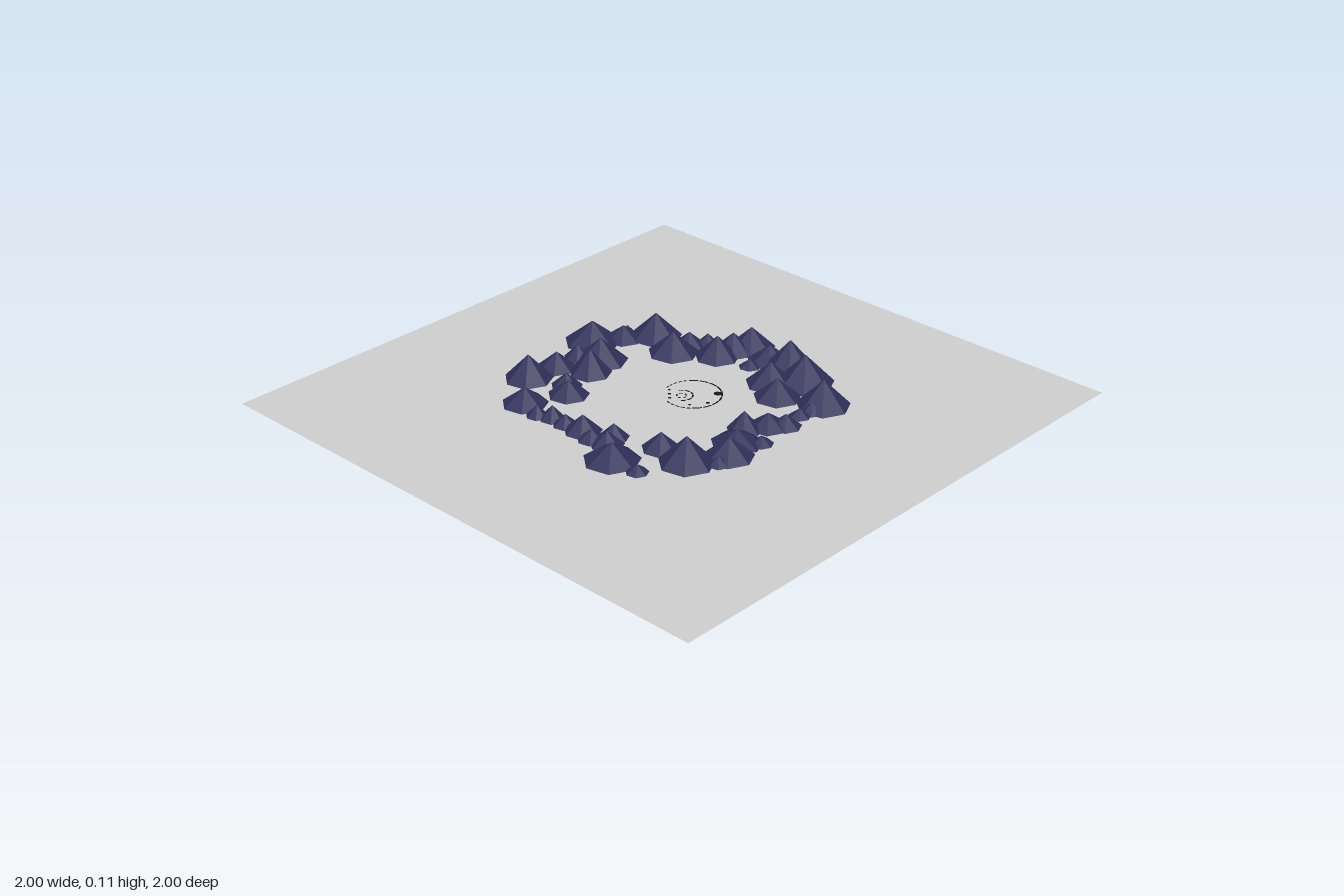
import * as THREE from 'three';
import { mergeGeometries } from 'three/addons/utils/BufferGeometryUtils.js';

const ground = new THREE.MeshStandardMaterial({ color: 0xcccccc, side: THREE.DoubleSide });
ground.name = 'pale grey ground';
const rock = new THREE.MeshStandardMaterial({ color: 0x30305a, flatShading: true });
rock.name = 'dark blue rock';
const ink = new THREE.MeshStandardMaterial({ color: 0x15151c, side: THREE.DoubleSide });
ink.name = 'near black marking';

// Peaks of each side of the ring: x, z, radius, height
const backPeaks = [
  [-0.23, -0.45, 0.085, 0.09], [-0.11, -0.44, 0.07, 0.06], [-0.01, -0.44, 0.05, 0.05],
  [0.11, -0.49, 0.101, 0.08], [0.03, -0.37, 0.095, 0.085], [-0.06, -0.33, 0.075, 0.09],
  [0.2, -0.43, 0.07, 0.05], [0.24, -0.45, 0.03, 0.03], [-0.36, -0.33, 0.08, 0.06],
  [-0.18, -0.32, 0.055, 0.05], [-0.22, -0.27, 0.072, 0.055],
];
const rightPeaks = [
  [-0.39, -0.24, 0.04, 0.04], [-0.37, -0.19, 0.045, 0.05], [-0.37, -0.13, 0.045, 0.04],
  [-0.36, -0.06, 0.065, 0.06], [-0.38, 0.0, 0.05, 0.04], [-0.37, 0.06, 0.058, 0.05],
  [-0.32, 0.04, 0.052, 0.05], [-0.43, 0.14, 0.096, 0.065], [-0.43, 0.25, 0.04, 0.03],
  [-0.27, 0.2, 0.066, 0.06],
];
const frontPeaks = [
  [-0.28, 0.32, 0.095, 0.095], [-0.16, 0.39, 0.084, 0.07], [-0.22, 0.4, 0.04, 0.03],
  [-0.08, 0.35, 0.088, 0.05], [-0.03, 0.41, 0.042, 0.03], [0.0, 0.31, 0.06, 0.07],
  [0.07, 0.35, 0.07, 0.05], [0.11, 0.39, 0.055, 0.045], [0.19, 0.38, 0.04, 0.03],
  [0.24, 0.39, 0.04, 0.04], [0.3, 0.387, 0.093, 0.095],
];
const leftPeaks = [
  [0.29, -0.36, 0.092, 0.09], [0.24, -0.23, 0.09, 0.08], [0.32, -0.23, 0.06, 0.05],
  [0.37, -0.19, 0.04, 0.04], [0.32, -0.1, 0.08, 0.08], [0.39, -0.09, 0.075, 0.07],
  [0.45, -0.06, 0.085, 0.08], [0.42, 0.05, 0.08, 0.06], [0.34, 0.03, 0.04, 0.03],
  [0.42, 0.14, 0.095, 0.11], [0.3, 0.16, 0.088, 0.08], [0.38, 0.24, 0.102, 0.105],
  [0.24, 0.24, 0.082, 0.07],
];

// One side of the ring: a chain of seven-sided cones standing on y = 0
function mountains(name, peaks) {
  const group = new THREE.Group();
  group.name = name;
  for (const [x, z, radius, height] of peaks) {
    const peak = new THREE.Mesh(new THREE.ConeGeometry(radius, height, 7), rock);
    peak.name = 'peak';
    peak.position.set(x, height / 2, z);
    group.add(peak);
  }
  return group;
}

// A flat dash of a ring, angles in degrees clockwise from +x seen from above
function dash(cx, cz, radius, width, from, to) {
  const rad = THREE.MathUtils.degToRad;
  return new THREE.RingGeometry(radius - width / 2, radius + width / 2, 12, 1, rad(-to), rad(to - from))
    .rotateX(-Math.PI / 2)
    .translate(cx, 0.003, cz);
}

// A broken circle made of evenly spaced dashes
function brokenArc(cx, cz, radius, width, from, to, count, fill) {
  const step = (to - from) / count;
  return Array.from({ length: count }, (_, i) =>
    dash(cx, cz, radius, width, from + i * step, from + (i + fill) * step));
}

function dot(x, z, radius) {
  return new THREE.CircleGeometry(radius, 8).rotateX(-Math.PI / 2).translate(x, 0.003, z);
}

export function createModel() {
  const model = new THREE.Group();
  model.name = 'mountainRing';

  // Square ground sheet
  const sheet = new THREE.Mesh(new THREE.PlaneGeometry(2, 2).rotateX(-Math.PI / 2), ground);
  sheet.name = 'ground';
  sheet.position.y = 0.001;
  model.add(sheet);

  model.add(
    mountains('backMountains', backPeaks),
    mountains('rightMountains', rightPeaks),
    mountains('frontMountains', frontPeaks),
    mountains('leftMountains', leftPeaks),
  );

  // Thin broken outline in the middle of the valley
  const outline = new THREE.Mesh(mergeGeometries([
    ...brokenArc(0.06, 0.028, 0.097, 0.006, -50, 140, 9, 0.9),
    ...brokenArc(0.06, 0.028, 0.097, 0.005, 140, 200, 5, 0.7),
    ...brokenArc(0.06, 0.028, 0.097, 0.005, 255, 310, 5, 0.6),
  ]), ink);
  outline.name = 'valleyOutline';
  model.add(outline);

  // Small curl and scattered specks inside the outline
  const curl = new THREE.Mesh(mergeGeometries([
    ...brokenArc(0.03, 0.008, 0.036, 0.006, -60, 150, 6, 0.8),
    ...brokenArc(0.028, 0.008, 0.016, 0.005, 0, 360, 5, 0.6),
    dot(0.12, 0.085, 0.014), dot(0.05, 0.105, 0.007), dot(0.0, 0.07, 0.005),
    dot(0.01, -0.03, 0.006), dot(0.03, -0.05, 0.005), dot(-0.01, -0.01, 0.006),
  ]), ink);
  curl.name = 'valleyCurl';
  model.add(curl);

  return model;
}
